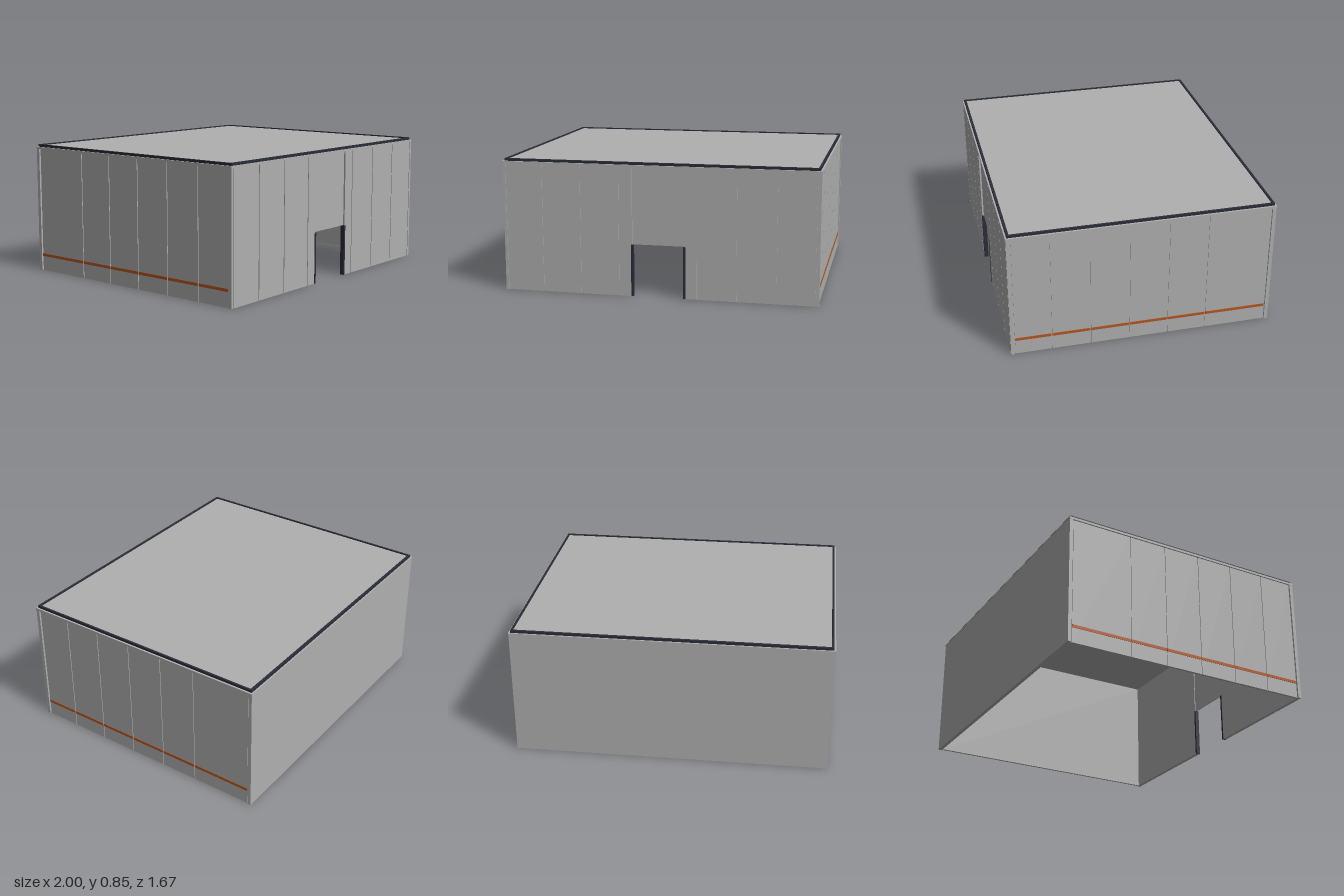
import * as THREE from 'three';

export function createModel() {
  const model = new THREE.Group();
  const mat = (name, color) => {
    const m = new THREE.MeshStandardMaterial({ color });
    m.name = name;
    return m;
  };
  const grey = mat('wall grey', 0xb0b0b0);
  const dark = mat('dark trim', 0x2b2d38);
  const orange = mat('orange stripe', 0xb4571f);

  // Box given by its minimum and maximum on each axis
  const box = (name, material, x0, x1, y0, y1, z0, z1) => {
    const mesh = new THREE.Mesh(new THREE.BoxGeometry(x1 - x0, y1 - y0, z1 - z0), material);
    mesh.position.set((x0 + x1) / 2, (y0 + y1) / 2, (z0 + z1) / 2);
    mesh.name = name;
    model.add(mesh);
    return mesh;
  };

  const X = 1, Z = 0.835, TOP = 0.815, DOOR = 0.165, DOOR_H = 0.33, GAP = 0.003;

  // Plain back wall
  box('backWall', grey, -0.998, 0.998, 0, TOP, -0.833, -0.81);

  // Front wall: backing and raised panels on each side of the doorway
  const frontSeams = [DOOR, 0.247, 0.494, 0.741, 0.978, 0.998];
  for (const s of [-1, 1]) {
    const span = (name, a, b, z0, z1) =>
      box(name, grey, Math.min(s * a, s * b), Math.max(s * a, s * b), 0, TOP, z0, z1);
    span('frontWall', DOOR, 0.998, 0.81, 0.828);
    for (let i = 0; i < frontSeams.length - 1; i++) {
      const a = frontSeams[i] + (i ? GAP : 0);
      const b = frontSeams[i + 1] - (i < frontSeams.length - 2 ? GAP : 0);
      span('frontPanel', a, b, 0.828, 0.833);
    }
    // Dark door jamb
    box('doorJamb', dark, s * DOOR - 0.007, s * DOOR + 0.007, 0, DOOR_H, 0.808, Z);
  }

  // Recessed panel above the doorway
  box('doorHeader', grey, -DOOR, DOOR, DOOR_H, TOP, 0.815, 0.822);

  // Side walls: backing, raised panels and a stripe broken at the seams
  const sideSeams = [0.807, 0.575, 0.33, 0.083, -0.163, -0.41, -0.807];
  for (const s of [-1, 1]) {
    const side = (name, m, a, b, y0, y1, z0, z1) =>
      box(name, m, Math.min(s * a, s * b), Math.max(s * a, s * b), y0, y1, z0, z1);
    side('sideWall', grey, 0.975, 0.986, 0, TOP, -0.81, 0.81);
    for (let i = 0; i < sideSeams.length - 1; i++) {
      const z1 = sideSeams[i] - GAP, z0 = sideSeams[i + 1] + GAP;
      side('sidePanel', grey, 0.986, 0.991, 0, TOP, z0, z1);
      side('sideStripe', orange, 0.991, 0.994, 0.096, 0.114, z0, z1);
    }
  }

  // Roof slab
  box('roof', grey, -X, X, TOP, 0.829, -Z, Z);
  box('roofDeck', grey, -0.975, 0.975, 0.829, 0.838, -0.81, 0.81);

  // Dark edging around the roof
  for (const s of [-1, 1]) {
    box('roofEdgeLong', dark, -0.988, 0.988, 0.829, 0.845, s * 0.8175 - 0.0075, s * 0.8175 + 0.0075);
    box('roofEdgeSide', dark, s * 0.9815 - 0.0065, s * 0.9815 + 0.0065, 0.829, 0.845, -0.81, 0.81);
  }

  return model;
}
